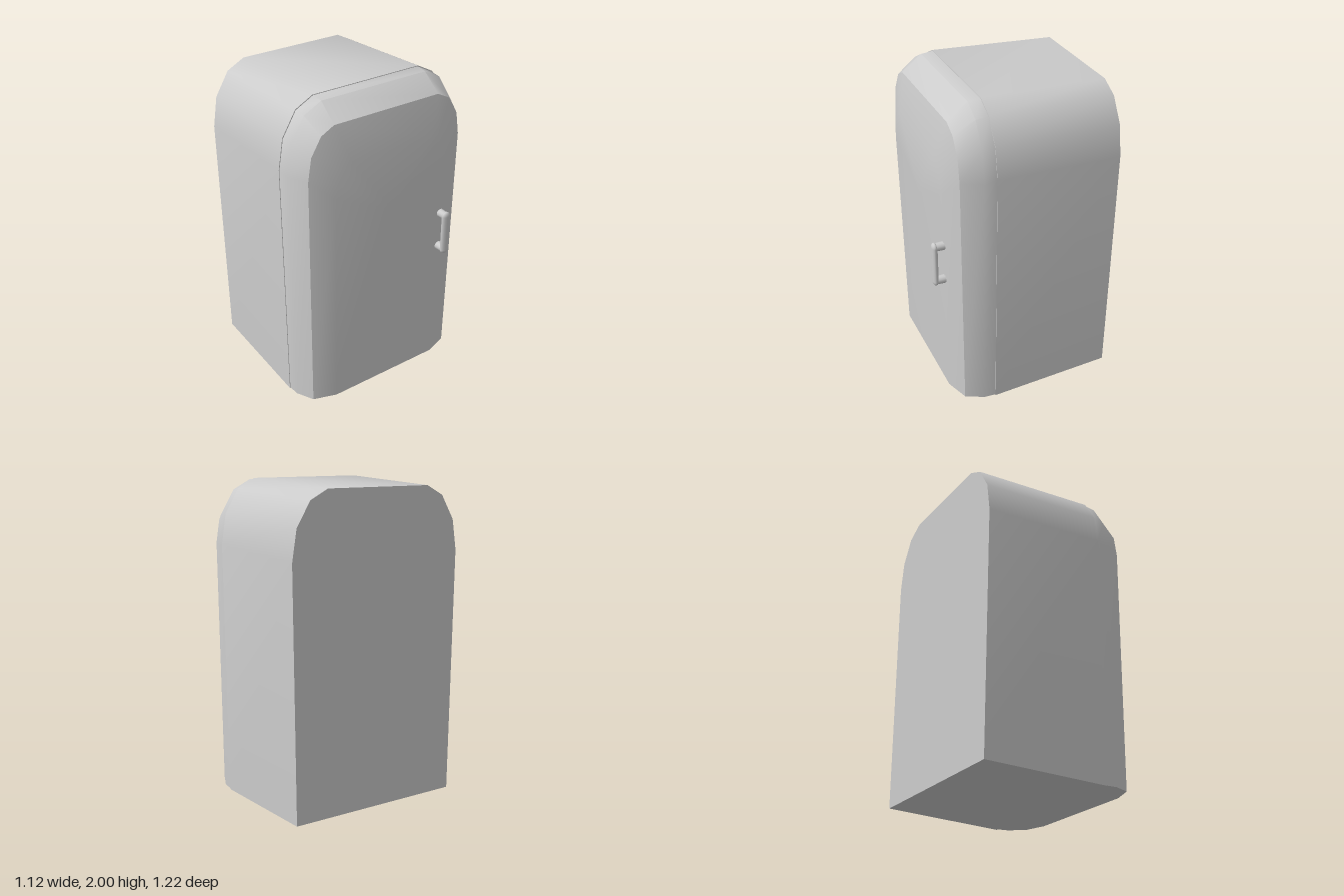
import * as THREE from 'three';
import { toCreasedNormals } from 'three/addons/utils/BufferGeometryUtils.js';

const material = new THREE.MeshStandardMaterial({ color: 0xcccccc });

// Arch outline at depth x: half width narrows to the foot, top corners are faceted arcs
function section(x, footWidth, width, bottom, top, corner = 1, lean = 0) {
  const arc = [[0, 0.4], [0.03, 0.21], [0.12, 0.06], [0.235, 0]];
  const half = [[footWidth, bottom], ...arc.map(([dz, dy]) => [width - dz * corner, top - dy * corner])];
  const outline = [...half, ...half.slice().reverse().map(([z, y]) => [-z, y])];
  return outline.map(([z, y], i) =>
    new THREE.Vector3(x - (i === 0 || i === outline.length - 1 ? lean : 0), y, z));
}

// Skin a row of outlines from back to front, with optional flat end caps
function loft(name, sections, capBack, capFront) {
  const points = [];
  const n = sections[0].length;
  for (let i = 0; i < sections.length - 1; i++) {
    for (let j = 0; j < n; j++) {
      const k = (j + 1) % n;
      const a = sections[i][j], b = sections[i][k];
      const c = sections[i + 1][j], d = sections[i + 1][k];
      points.push(a, c, d, a, d, b);
    }
  }
  const cap = (loop, front) => {
    const centre = loop.reduce((s, p) => s.add(p), new THREE.Vector3()).divideScalar(n);
    loop.forEach((p, j) => {
      const q = loop[(j + 1) % n];
      points.push(centre, ...(front ? [q, p] : [p, q]));
    });
  };
  if (capBack) cap(sections[0], false);
  if (capFront) cap(sections[sections.length - 1], true);
  const geometry = new THREE.BufferGeometry().setFromPoints(points);
  const mesh = new THREE.Mesh(toCreasedNormals(geometry, 0.65), material);
  mesh.name = name;
  return mesh;
}

export function createModel() {
  const model = new THREE.Group();
  model.name = 'refrigerator';

  // Cabinet, widening slightly towards the door
  model.add(loft('cabinet', [
    section(-0.56, 0.57, 0.59, 0.025, 1.968),
    section(0.23, 0.592, 0.611, 0.003, 2.0),
  ], true, true));

  // Door rim and bulging door face, meeting at a hard edge
  const edge = section(0.43, 0.535, 0.547, 0.014, 1.89, 0.75, 0.012);
  model.add(loft('doorRim', [
    section(0.23, 0.588, 0.607, 0.006, 1.996),
    section(0.305, 0.585, 0.604, 0.009, 1.989),
    edge,
  ], true, false));
  model.add(loft('doorFace', [
    edge,
    section(0.487, 0.39, 0.4, 0.017, 1.66, 0.5, 0.017),
  ], false, true));

  // Upright handle on two posts
  const handle = new THREE.Group();
  handle.name = 'handle';
  handle.position.set(0, 0.987, -0.393);
  const grip = new THREE.Mesh(new THREE.CapsuleGeometry(0.03, 0.238, 5, 12), material);
  grip.name = 'grip';
  grip.scale.x = 0.6;
  grip.position.x = 0.538;
  handle.add(grip);
  for (const side of [-1, 1]) {
    const post = new THREE.Mesh(new THREE.CylinderGeometry(0.027, 0.025, 0.06, 12), material);
    post.name = 'handlePost';
    post.rotation.z = Math.PI / 2;
    post.position.set(0.508, side * 0.119, 0);
    handle.add(post);
  }
  model.add(handle);
  return model;
}
